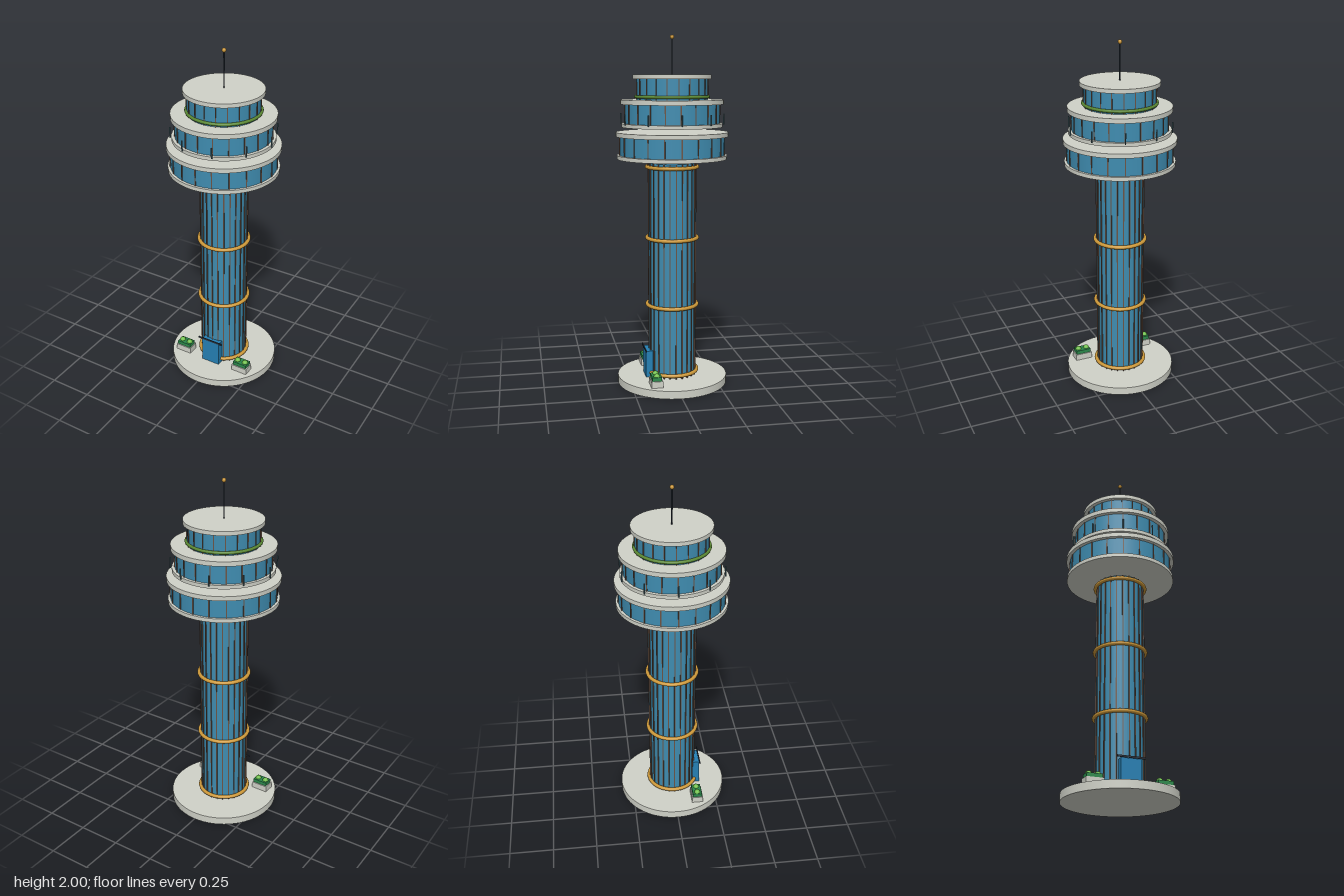
import * as THREE from 'three';

const mat = (color) => new THREE.MeshStandardMaterial({ color });

export function createModel() {
  const tower = new THREE.Group();
  tower.name = 'controlTower';
  const stone = mat(0xd0d2c8), glass = mat(0x3f8cb0), gold = mat(0xcf9a3a);
  const bronze = mat(0x6b5344), dark = mat(0x2b3540), post = mat(0x4a6a72);
  const hedge = mat(0x2c8a4c), leaf = mat(0x6fbf4a), moss = mat(0x5c8a34), doorBlue = mat(0x2580b4);

  const add = (name, geometry, material, x = 0, y = 0, z = 0, parent = tower) => {
    const mesh = new THREE.Mesh(geometry, material);
    mesh.name = name;
    mesh.position.set(x, y, z);
    parent.add(mesh);
    return mesh;
  };
  // Upright cylinder between two heights
  const disc = (name, r, y0, y1, material, sides = 64) =>
    add(name, new THREE.CylinderGeometry(r, r, y1 - y0, sides), material, 0, (y0 + y1) / 2);
  // Horizontal ring
  const ring = (name, r, tube, y, material) => {
    add(name, new THREE.TorusGeometry(r, tube, 10, 64), material, 0, y).rotation.x = Math.PI / 2;
  };
  // Vertical glazing bars spaced around a circle
  const mullions = (name, count, r, y0, y1, width, depth) => {
    const group = new THREE.Group();
    group.name = name;
    const bar = new THREE.BoxGeometry(width, y1 - y0, depth);
    for (let i = 0; i < count; i++) {
      const a = (i / count) * Math.PI * 2;
      add('mullion', bar, bronze, Math.sin(a) * r, (y0 + y1) / 2, Math.cos(a) * r, group).rotation.y = a;
    }
    tower.add(group);
  };

  // Base and shaft
  disc('base', 0.318, 0, 0.045, stone);
  disc('shaft', 0.134, 0.06, 1.288, glass, 48);
  mullions('shaftMullions', 24, 0.134, 0.048, 1.288, 0.006, 0.01);
  for (const y of [0.07, 0.465, 0.857, 1.265]) ring('shaftBand', 0.144, 0.011, y, gold);

  // Lower deck
  disc('lowerDeckFloor', 0.312, 1.31, 1.332, stone);
  disc('lowerDeckGlass', 0.297, 1.332, 1.437, glass);
  mullions('lowerDeckMullions', 20, 0.297, 1.332, 1.437, 0.006, 0.008);
  disc('lowerDeckRoof', 0.318, 1.437, 1.462, stone);

  // Middle deck with its ring of posts
  disc('middleDeckFloor', 0.286, 1.49, 1.511, stone);
  disc('middleDeckGlass', 0.268, 1.511, 1.617, glass);
  mullions('middleDeckMullions', 20, 0.268, 1.511, 1.617, 0.006, 0.008);
  disc('middleDeckRoof', 0.291, 1.617, 1.643, stone);
  const postShape = new THREE.CylinderGeometry(0.004, 0.004, 0.06, 8);
  for (let i = 0; i < 10; i++) {
    const a = (i / 10) * Math.PI * 2;
    add('deckPost', postShape, post, Math.cos(a) * 0.293, 1.535, Math.sin(a) * 0.293);
  }

  // Top cabin
  disc('cabinGlass', 0.2, 1.643, 1.758, glass);
  mullions('cabinMullions', 20, 0.2, 1.643, 1.758, 0.005, 0.008);
  ring('cabinGreenRing', 0.204, 0.009, 1.659, moss);
  disc('cabinRoof', 0.222, 1.758, 1.781, stone);

  // Antenna
  disc('antennaMast', 0.004, 1.78, 1.985, dark, 10);
  add('antennaTip', new THREE.SphereGeometry(0.012, 16, 12), gold, 0, 1.988, 0);

  // Entrance with a slim lintel strip
  add('door', new THREE.BoxGeometry(0.116, 0.155, 0.04), doorBlue, 0, 0.1225, 0.143);
  add('doorLintel', new THREE.BoxGeometry(0.16, 0.01, 0.006), dark, 0, 0.206, 0.165);

  // Planters on both sides of the door
  for (const side of [-1, 1]) {
    const planter = new THREE.Group();
    planter.name = side > 0 ? 'leftPlanter' : 'rightPlanter';
    planter.position.set(side * 0.198, 0.045, 0.128);
    add('planterTub', new THREE.BoxGeometry(0.1, 0.037, 0.066), stone, 0, 0.0185, 0, planter);
    add('planterHedge', new THREE.BoxGeometry(0.088, 0.022, 0.054), hedge, 0, 0.048, 0, planter);
    for (const x of [-0.025, 0.025])
      add('shrub', new THREE.SphereGeometry(0.018, 14, 10), leaf, x, 0.058, 0, planter);
    tower.add(planter);
  }
  return tower;
}
